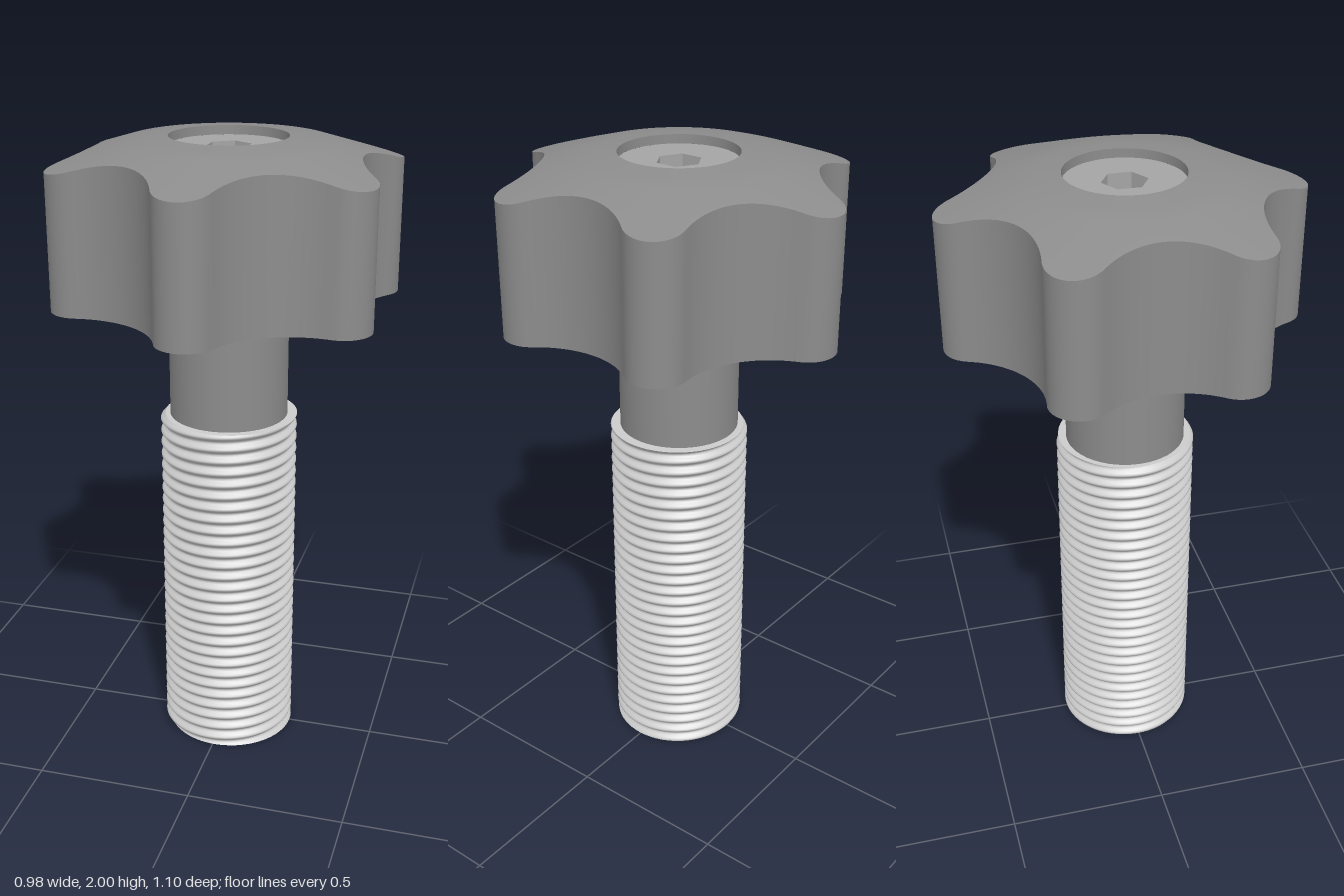
import * as THREE from 'three';

const mat = (color, extra = {}) => new THREE.MeshStandardMaterial({ color, ...extra });

function addMesh(parent, name, geometry, material) {
  const mesh = new THREE.Mesh(geometry, material);
  mesh.name = name;
  parent.add(mesh);
  return mesh;
}

// Closed skin through stacked loops; point(row, angle) returns [radius, y]
function skin(rows, cols, point) {
  const pos = [], index = [];
  for (let i = 0; i < rows; i++) {
    for (let j = 0; j < cols; j++) {
      const t = (j / cols) * Math.PI * 2;
      const [r, y] = point(i, t);
      pos.push(r * Math.cos(t), y, -r * Math.sin(t));
      if (i === rows - 1) continue;
      const a = i * cols + j, b = i * cols + (j + 1) % cols;
      index.push(a, b, b + cols, a, b + cols, a + cols);
    }
  }
  const g = new THREE.BufferGeometry();
  g.setAttribute('position', new THREE.Float32BufferAttribute(pos, 3));
  g.setIndex(index);
  g.computeVertexNormals();
  return g;
}

// Six-lobed outline: round lobe tips joined by tangent hollow arcs
function starRadius(t) {
  const step = Math.PI / 3;
  const b = Math.abs(t - Math.round(t / step) * step); // angle from nearest hollow
  const a = step / 2 - b; // angle from nearest lobe tip
  const root = (r, d, s) => Math.sqrt(Math.max(0, r * r - (d * Math.sin(s)) ** 2));
  return b > 0.354
    ? 0.46 * Math.cos(a) + root(0.09, 0.46, a)
    : 0.675 * Math.cos(b) - root(0.27, 0.675, b);
}

// Domed top: gentle slope near the recess, then a steeper cone
const topHeight = (r) => (r < 0.32 ? 2 - (r - 0.18) * 0.107 : 1.985 - (r - 0.32) * 0.304);

export function createModel() {
  const group = new THREE.Group();
  group.name = 'knobScrew';
  const plastic = mat(0x8c8c8c), metal = mat(0xcccccc), headMetal = mat(0xa4a4a4);

  // Star knob, one skin per crease-bounded surface
  const knob = new THREE.Group();
  knob.name = 'starKnob';
  group.add(knob);
  const cols = 240, base = 1.5, recess = 0.18, floorY = 1.972;
  addMesh(knob, 'knobUnderside', skin(2, cols, (i, t) => [i ? starRadius(t) : 0.15, base]), plastic);
  addMesh(knob, 'knobSide', skin(2, cols, (i, t) => {
    const r = starRadius(t);
    return [r, i ? topHeight(r) : base];
  }), plastic);
  addMesh(knob, 'knobTop', skin(4, cols, (i, t) => {
    const r = [starRadius(t), 0.32, 0.25, recess][i];
    return [r, topHeight(r)];
  }), plastic);
  addMesh(knob, 'recessWall', skin(2, cols, (i) => [recess, i ? floorY : 2]), plastic);

  // Screw head at the bottom of the recess, with a hexagonal socket
  const head = new THREE.Group();
  head.name = 'screwHead';
  group.add(head);
  const face = new THREE.Shape().absarc(0, 0, recess, 0, Math.PI * 2);
  const hex = [];
  for (let i = 0; i < 6; i++) {
    const t = Math.PI / 2 - i * Math.PI / 3;
    hex.push(new THREE.Vector2(0.07 * Math.cos(t), 0.07 * Math.sin(t)));
  }
  face.holes.push(new THREE.Path(hex));
  const socketDepth = 0.05;
  addMesh(head, 'headFace', new THREE.ShapeGeometry(face, 32).rotateX(-Math.PI / 2), headMetal)
    .position.y = floorY;
  addMesh(head, 'socketWall', new THREE.CylinderGeometry(0.07, 0.07, socketDepth, 6, 1, true),
    mat(0xa4a4a4, { flatShading: true, side: THREE.DoubleSide })).position.y = floorY - socketDepth / 2;
  addMesh(head, 'socketFloor', new THREE.CircleGeometry(0.07, 6, Math.PI / 2).rotateX(-Math.PI / 2), headMetal)
    .position.y = floorY - socketDepth;

  // Plain neck between knob and thread
  const top = 1.13;
  addMesh(group, 'neck', new THREE.CylinderGeometry(0.187, 0.187, base - top, 48, 1, true), plastic)
    .position.y = (base + top) / 2;

  // Threaded rod with a right-hand helical ridge
  const rod = new THREE.Group();
  rod.name = 'threadedRod';
  group.add(rod);
  const turns = 28, perTurn = 8, rows = turns * perTurn + 1;
  const threadRadius = (u, t) => 0.21 + 0.008 * Math.cos(u * Math.PI * 2 - t);
  addMesh(rod, 'thread', skin(rows, 64, (i, t) => {
    const u = i / perTurn;
    return [threadRadius(u, t), (u / turns) * top];
  }), metal);
  addMesh(rod, 'rodBottom', skin(2, 64, (i, t) => [i ? threadRadius(0, t) : 0, 0]), metal);
  addMesh(rod, 'rodShoulder', skin(2, 64, (i, t) => [i ? 0.15 : threadRadius(turns, t), top]), metal);

  return group;
}
